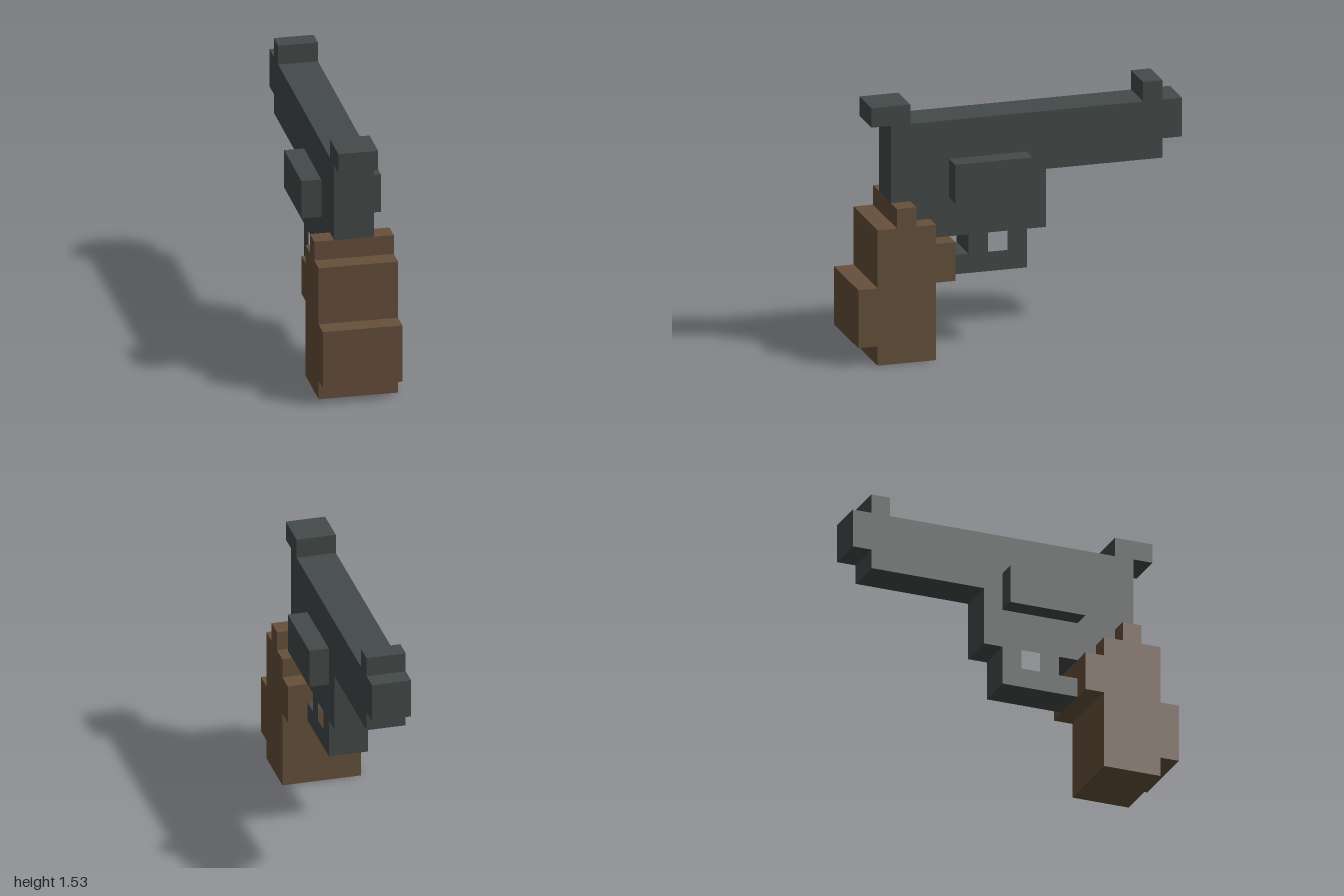
import * as THREE from 'three';

const U = 2 / 17; // one block of the grid

// Side profile in blocks: [blocks back from the muzzle, blocks up]
const toPoints = (pts) => pts.map(([k, y]) => new THREE.Vector2(1 - k * U, y * U));

// Extrudes a side profile across x, from x0 to x1 blocks
function slab(name, pts, x0, x1, material, holes = []) {
  const shape = new THREE.Shape(toPoints(pts));
  holes.forEach((h) => shape.holes.push(new THREE.Path(toPoints(h))));
  const geo = new THREE.ExtrudeGeometry(shape, { depth: (x1 - x0) * U, bevelEnabled: false });
  geo.rotateY(Math.PI / 2);
  geo.translate(x0 * U, 0, 0);
  const mesh = new THREE.Mesh(geo, material);
  mesh.name = name;
  return mesh;
}

const rect = (k0, k1, y0, y1) => [[k0, y0], [k1, y0], [k1, y1], [k0, y1]];

export function createModel() {
  const metal = new THREE.MeshStandardMaterial({ color: 0x434a49 });
  metal.name = 'dark metal';
  const wood = new THREE.MeshStandardMaterial({ color: 0x66503b });
  wood.name = 'brown wood';

  const group = new THREE.Group();
  group.name = 'blockPistol';

  // Barrel, frame and trigger
  group.add(slab('frame', [
    [0, 10], [1, 10], [1, 9], [7, 9], [7, 6], [8, 6], [8, 4], [12, 4], [12, 5], [11, 5], [11, 6],
    [13, 6], [13, 7], [14, 7], [14, 8], [15, 8], [15, 12], [0, 12],
  ], -1, 1, metal, [rect(9, 10, 5, 6)]));

  // Sight at the muzzle and hammer at the back
  group.add(slab('frontSight', rect(1, 2, 12, 13), -1, 1, metal));
  group.add(slab('hammer', rect(14, 16, 12, 13), -1, 1, metal));

  // Raised blocks on both sides
  group.add(slab('leftSideBlock', rect(8, 12, 8, 10), 1, 2, metal));
  group.add(slab('rightSideBlock', rect(8, 12, 8, 10), -2, -1, metal));

  // Stepped grip
  group.add(slab('grip', [
    [13, 0], [16, 0], [16, 1], [17, 1], [17, 4], [16, 4], [16, 7], [15, 7], [15, 8], [14, 8],
    [14, 7], [13, 7], [13, 6], [12, 6], [12, 4], [13, 4],
  ], -2, 2, wood));

  return group;
}
